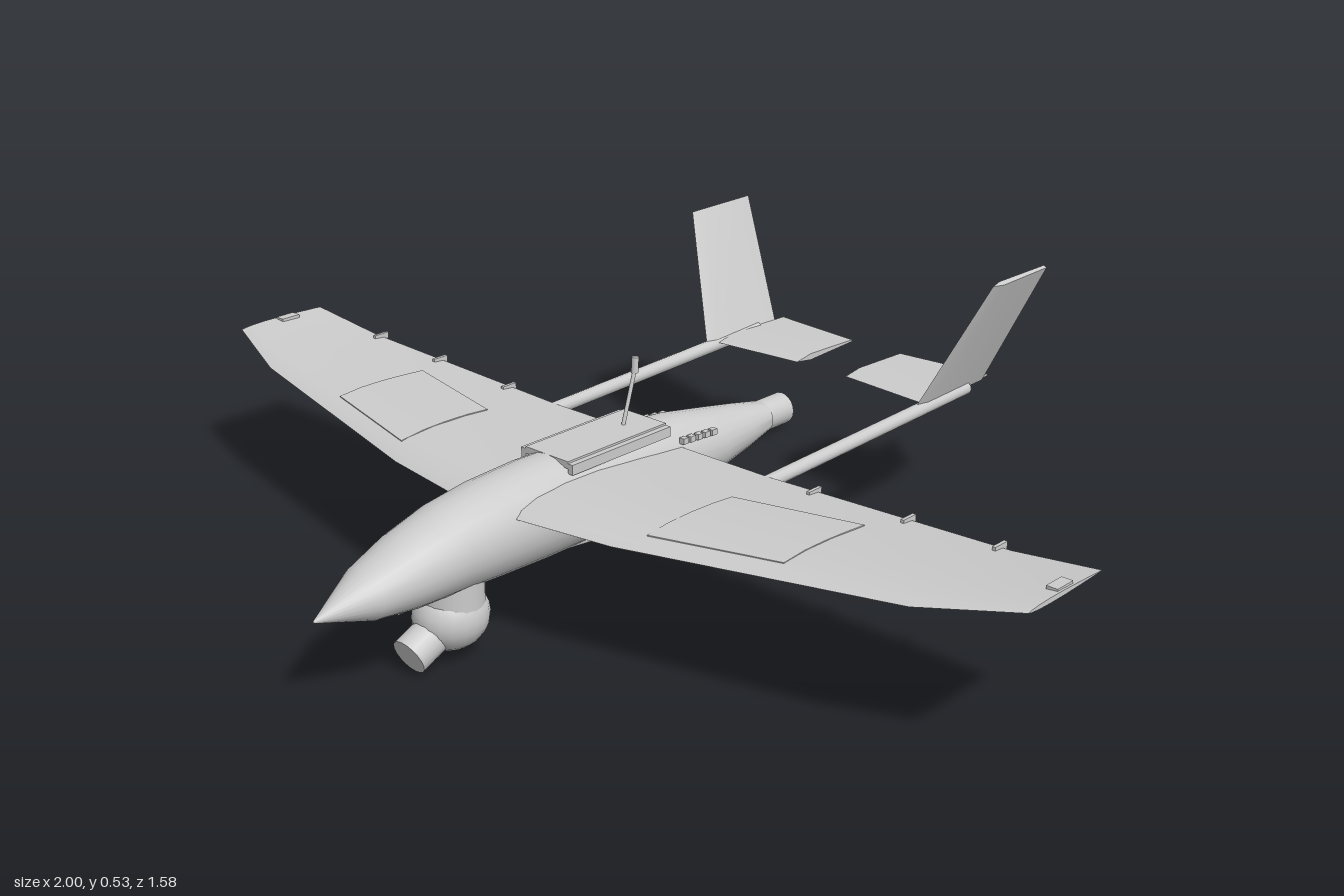
import * as THREE from 'three';
import { toCreasedNormals } from 'three/addons/utils/BufferGeometryUtils.js';

const V = (x, y, z) => new THREE.Vector3(x, y, z);
const lerp = THREE.MathUtils.lerp;
const grey = new THREE.MeshStandardMaterial({ color: 0xcccccc });

// Closed skin through a list of rings, capped at both ends, wound outwards
function loft(rings, crease = 0.6) {
  const n = rings[0].length, pts = rings.flat(), tris = [];
  for (let i = 0; i < rings.length - 1; i++) {
    for (let j = 0; j < n; j++) {
      const a = i * n + j, b = i * n + (j + 1) % n;
      tris.push([a, b, a + n], [b, b + n, a + n]);
    }
  }
  [0, rings.length - 1].forEach((r, end) => {
    const c = pts.length;
    pts.push(rings[r].reduce((s, p) => s.add(p), V(0, 0, 0)).divideScalar(n));
    for (let j = 0; j < n; j++) {
      const a = r * n + j, b = r * n + (j + 1) % n;
      tris.push(end ? [a, b, c] : [b, a, c]);
    }
  });
  const volume = tris.reduce((s, [a, b, c]) => s + pts[a].dot(pts[b].clone().cross(pts[c])), 0);
  const geo = new THREE.BufferGeometry().setFromPoints(pts);
  geo.setIndex(tris.flatMap(([a, b, c]) => (volume < 0 ? [a, c, b] : [a, b, c])));
  return toCreasedNormals(geo, crease);
}

// Cylinder between two points
function rod(a, b, ra, rb = ra, sides = 12) {
  const dir = b.clone().sub(a);
  const geo = new THREE.CylinderGeometry(rb, ra, dir.length(), sides);
  geo.applyQuaternion(new THREE.Quaternion().setFromUnitVectors(V(0, 1, 0), dir.clone().normalize()));
  const m = a.clone().add(b).multiplyScalar(0.5);
  return geo.translate(m.x, m.y, m.z);
}

const box = (w, h, d, x, y, z) => new THREE.BoxGeometry(w, h, d).translate(x, y, z);

// Wing stations: x, leading z, trailing z, middle y, thickness
const stations = [
  [0, 0.40, -0.06, 0.262, 0.048], [0.09, 0.39, -0.06, 0.262, 0.048],
  [0.28, 0.36, -0.06, 0.262, 0.045], [0.82, 0.235, -0.055, 0.284, 0.026],
  [1, 0.17, -0.045, 0.31, 0.01],
];
// Section: fraction of chord, fraction of half thickness
const section = [[0, 0], [0.04, 0.42], [0.14, 0.8], [0.3, 1], [0.5, 0.92], [0.75, 0.55], [1, 0.1]];

function sample(table, x) {
  let i = 0;
  while (i < table.length - 2 && x > table[i + 1][0]) i++;
  const t = (x - table[i][0]) / (table[i + 1][0] - table[i][0]);
  return table[i].map((v, k) => lerp(v, table[i + 1][k], t));
}

function wingTop(x, z) {
  const [, le, te, y, th] = sample(stations, x);
  return y + th / 2 * sample(section, (le - z) / (le - te))[1];
}

function wingRing([x, le, te, y, th]) {
  const side = (s) => section.map(([f, h]) => V(x, y + s * h * th / 2, lerp(le, te, f)));
  return [...side(1), ...side(-1).reverse().slice(0, -1)];
}

// Raised access panel that follows the top of the wing
function hatchGeometry() {
  const rings = [];
  for (let i = 0; i <= 4; i++) {
    const t = i / 4, x = lerp(0.32, 0.575, t), top = [], under = [];
    for (let j = 0; j <= 4; j++) {
      const z = lerp(lerp(0.31, 0.25, t), lerp(0.085, 0.03, t), j / 4), y = wingTop(x, z);
      top.push(V(x, y + 0.002, z));
      under.unshift(V(x, y - 0.003, z));
    }
    rings.push([...top, ...under]);
  }
  return loft(rings);
}

export function createModel() {
  const model = new THREE.Group();
  const add = (name, geo, parent = model) => {
    const m = new THREE.Mesh(geo, grey);
    m.name = name;
    parent.add(m);
    return m;
  };

  // Fuselage rings: z, middle y, half width, half height
  const body = [
    [0.79, 0.178, 0.002, 0.002], [0.68, 0.192, 0.056, 0.048], [0.59, 0.205, 0.074, 0.07],
    [0.5, 0.217, 0.084, 0.083], [0.4, 0.222, 0.089, 0.092], [0.28, 0.223, 0.089, 0.097],
    [0.1, 0.222, 0.085, 0.096], [0, 0.222, 0.082, 0.092], [-0.1, 0.221, 0.078, 0.083],
    [-0.2, 0.22, 0.07, 0.066], [-0.3, 0.22, 0.053, 0.048], [-0.376, 0.22, 0.036, 0.033],
  ].map(([z, y, rx, ry]) => Array.from({ length: 24 }, (_, i) => {
    const a = i / 24 * Math.PI * 2;
    return V(rx * Math.cos(a), y + ry * Math.sin(a), z);
  }));
  add('fuselage', loft(body));
  add('tailPipe', rod(V(0, 0.22, -0.36), V(0, 0.22, -0.445), 0.033, 0.033, 20));

  // Wing in one piece from tip to tip
  const left = stations.map(wingRing);
  const right = stations.slice(1).reverse().map(([x, ...r]) => wingRing([-x, ...r]));
  add('wing', loft([...right, ...left]));

  // Top plate with side rails, and whip antenna
  add('topPlate', box(0.11, 0.014, 0.265, 0, 0.312, 0.103));
  for (const s of [-1, 1]) add('plateRail', box(0.012, 0.02, 0.265, s * 0.061, 0.305, 0.103));
  add('antennaMast', rod(V(0, 0.31, 0.033), V(0, 0.42, -0.001), 0.004));
  add('antennaTip', rod(V(0, 0.415, -0.001), V(0, 0.446, -0.003), 0.007));

  // Sensor turret under the nose
  const turret = new THREE.Group();
  turret.name = 'sensorTurret';
  model.add(turret);
  add('turretNeck', rod(V(0, 0.09, 0.48), V(0, 0.17, 0.48), 0.062, 0.062, 20), turret);
  add('turretBall', new THREE.SphereGeometry(0.075, 20, 12).scale(0.9, 0.88, 1).translate(0, 0.083, 0.482), turret);
  add('cameraBarrel', rod(V(0, 0.068, 0.507), V(0, 0.034, 0.585), 0.037, 0.037, 18), turret);
  add('sideLens', rod(V(-0.037, 0.114, 0.48), V(-0.037, 0.114, 0.578), 0.012), turret);

  // Parts modelled on the left; mirrored copies follow for the right
  for (const s of [1, -1]) {
    const half = new THREE.Group();
    half.name = s > 0 ? 'leftParts' : 'rightParts';
    half.scale.x = s;
    model.add(half);

    add('wingHatch', hatchGeometry(), half);
    add('tipLight', box(0.022, 0.012, 0.045, 0.984, 0.312, -0.057 + 0.0), half).position.z = 0.115 - 0.001;
    for (const x of [0.4, 0.61, 0.8]) {
      add('flapHinge', box(0.007, 0.014, 0.036, x, sample(stations, x)[3] + 0.003, -0.05), half);
    }
    for (let i = 0; i < 5; i++) {
      add('coolingVent', box(0.012, 0.012, 0.014, 0.07 - i * 0.001, 0.277 - i * 0.002, -0.065 - i * 0.022), half);
    }

    // Tail boom with a pointed front under the wing
    add('tailBoom', rod(V(0.28, 0.25, -0.03), V(0.28, 0.266, -0.7), 0.014), half);
    add('boomNose', rod(V(0.28, 0.245, 0.06), V(0.28, 0.25, -0.03), 0.003, 0.014), half);

    // Tailplane and canted fin, as tapered thin slabs
    const plane = (x, z0, z1) => [V(x, 0.27, z0), V(x, 0.277, lerp(z0, z1, 0.25)), V(x, 0.272, z1),
      V(x, 0.268, z1), V(x, 0.263, lerp(z0, z1, 0.25))];
    add('tailplane', loft([plane(0.065, -0.575, -0.765), plane(0.275, -0.555, -0.785)]), half);
    const fin = (x, y, z0, z1) => {
      const p = (o, z) => V(x + o * 0.91, y - o * 0.41, z);
      return [p(0, z0), p(0.006, z0 - 0.03), p(0.004, z1), p(-0.004, z1), p(-0.006, z0 - 0.03)];
    };
    add('tailFin', loft([fin(0.278, 0.27, -0.528, -0.755), fin(0.392, 0.53, -0.605, -0.789)]), half);

    // Belly skid
    add('bellySkid', rod(V(0.045, 0.15, 0.26), V(0.045, 0.122, -0.012), 0.006), half);
    add('skidStrut', box(0.006, 0.03, 0.05, 0.045, 0.142, 0.06), half);
  }
  return model;
}
